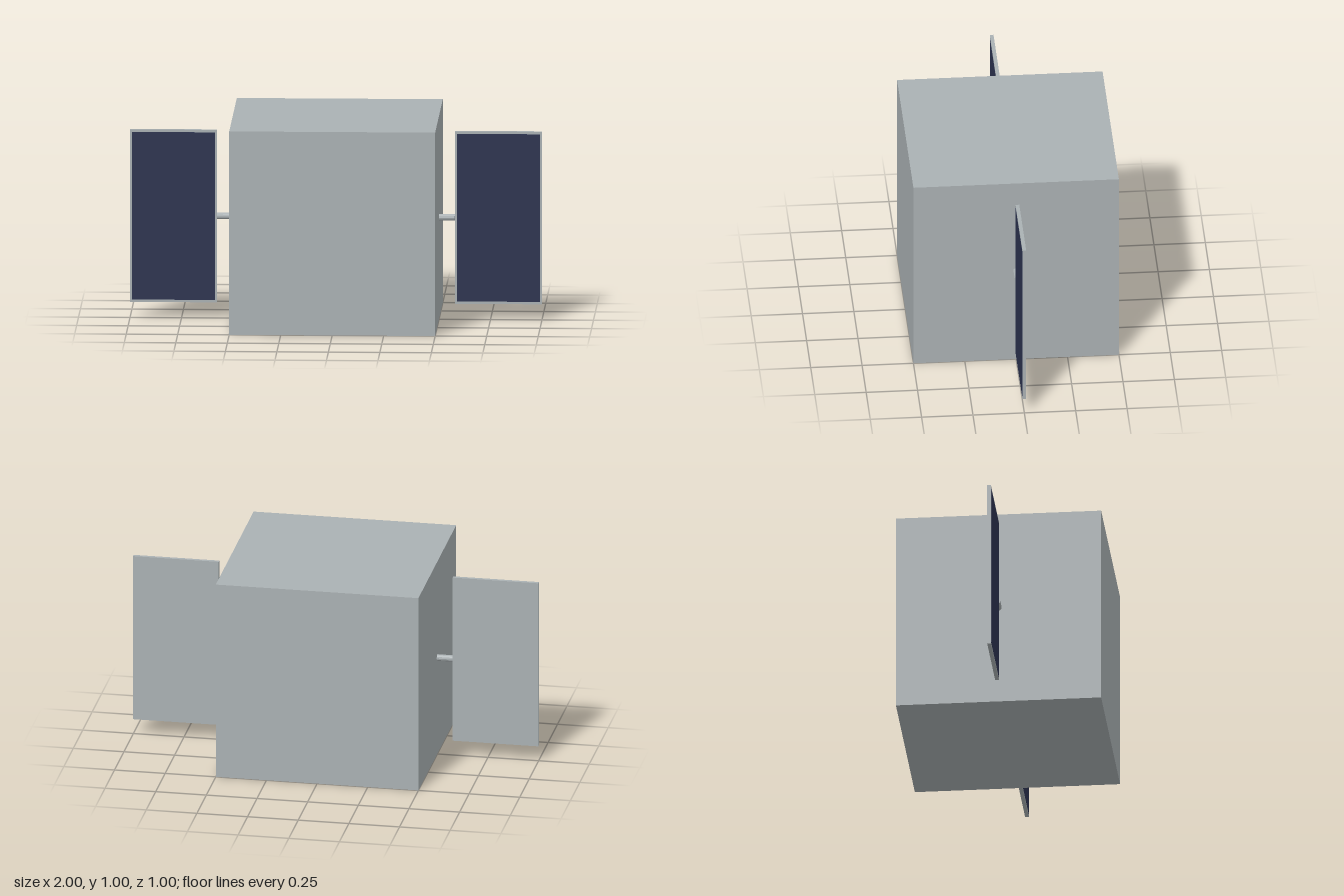
import * as THREE from 'three';

export function createModel() {
  const model = new THREE.Group();
  model.name = 'satellite';

  const grey = new THREE.MeshStandardMaterial({ color: 0xaab1b3 });
  grey.name = 'hull grey';
  const navy = new THREE.MeshStandardMaterial({ color: 0x2c3350 });
  navy.name = 'solar cell navy';

  const add = (parent, name, geometry, material, x, y, z) => {
    const mesh = new THREE.Mesh(geometry, material);
    mesh.name = name;
    mesh.position.set(x, y, z);
    parent.add(mesh);
  };

  // Cube body
  add(model, 'body', new THREE.BoxGeometry(1, 1, 1), grey, 0, 0.5, 0);

  // Shared wing parts: strut along x, thin frame, cell face on the front only
  const strut = new THREE.CylinderGeometry(0.016, 0.016, 0.08, 12).toNonIndexed();
  strut.rotateZ(Math.PI / 2);
  strut.computeVertexNormals();
  const frame = new THREE.BoxGeometry(0.423, 0.848, 0.018);
  const cells = new THREE.BoxGeometry(0.403, 0.824, 0.002);

  for (const [side, name] of [[1, 'left'], [-1, 'right']]) {
    const wing = new THREE.Group();
    wing.name = name + 'SolarWing';
    add(wing, name + 'Strut', strut, grey, side * 0.537, 0.502, 0);
    add(wing, name + 'PanelFrame', frame, grey, side * 0.7885, 0.502, 0);
    add(wing, name + 'SolarCells', cells, navy, side * 0.7885, 0.502, 0.009);
    model.add(wing);
  }

  return model;
}
